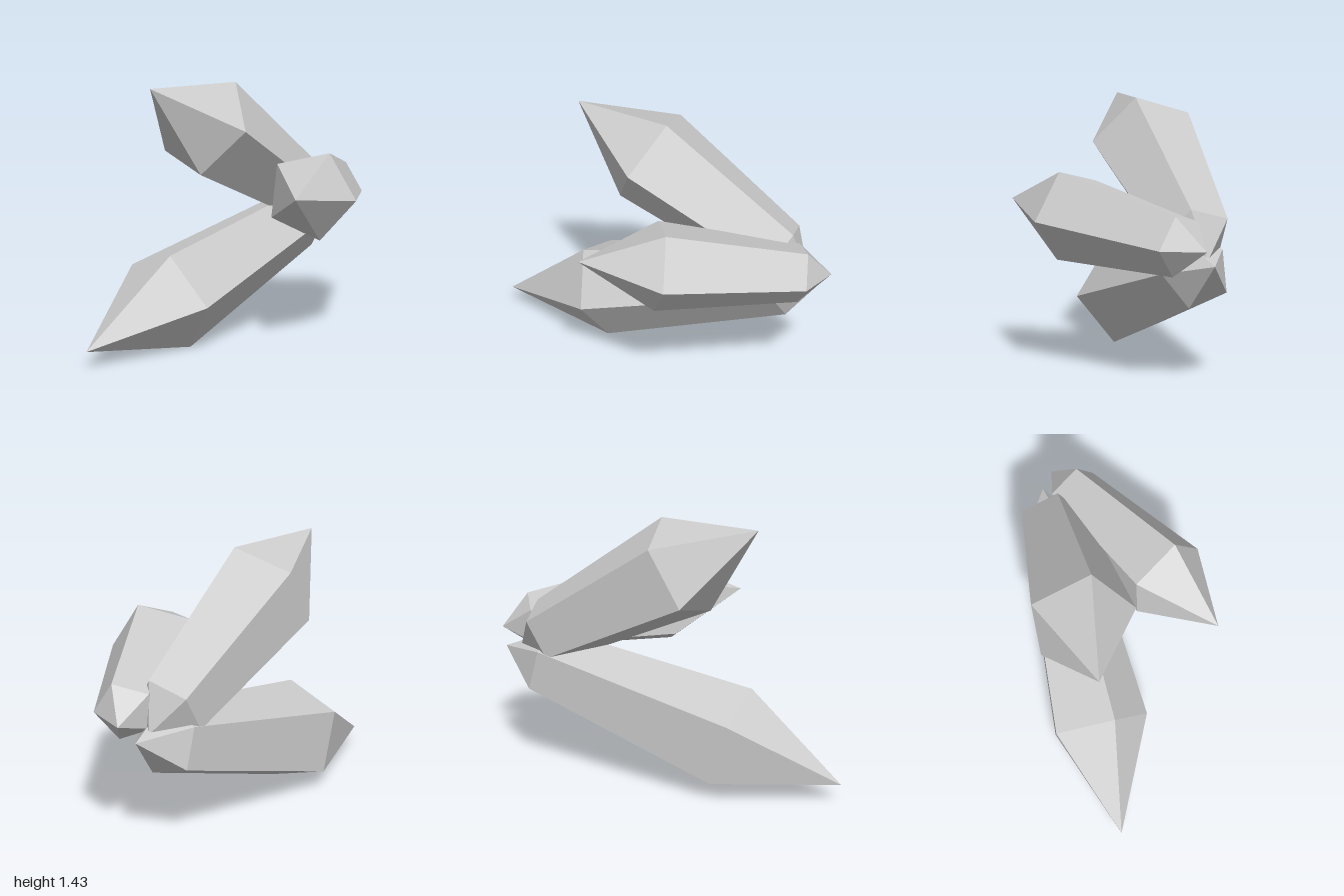
import * as THREE from 'three';

// Five-sided crystal along y: widest ring at the origin (radius 1), front point at y = 1
const profile = [[0, -2.21], [0.655, -1.815], [1, 0], [0, 1]]
  .map(([r, y]) => new THREE.Vector2(r, y));

// centre: middle of the widest ring; tip: front point; corner: direction of one ring corner
function crystal(name, material, radius, centre, tip, corner) {
  const c = new THREE.Vector3(...centre);
  const y = new THREE.Vector3(...tip).sub(c);
  const length = y.length();
  y.normalize();
  const z = new THREE.Vector3(...corner);
  z.addScaledVector(y, -z.dot(y)).normalize();
  const x = new THREE.Vector3().crossVectors(y, z);

  const mesh = new THREE.Mesh(new THREE.LatheGeometry(profile, 5), material);
  mesh.name = name;
  mesh.quaternion.setFromRotationMatrix(new THREE.Matrix4().makeBasis(x, y, z));
  mesh.scale.set(radius, length, radius);
  mesh.position.copy(c);
  return mesh;
}

export function createModel() {
  const group = new THREE.Group();
  group.name = 'crystalCluster';
  const material = new THREE.MeshStandardMaterial({ color: 0xcccccc, flatShading: true });

  // Three crystals fanning out from a shared root at the back
  group.add(
    crystal('lowerCrystal', material, 0.293, [-0.252, 0.272, 0.396], [-0.246, 0.105, 1.0], [1, 0, 0]),
    crystal('upperCrystal', material, 0.293, [-0.252, 1.192, 0.095], [-0.246, 1.435, 0.52], [1, 0, 0]),
    crystal('sideCrystal', material, 0.252, [0.265, 0.835, -0.186], [0.475, 0.885, 0.18], [0.22, -0.02, -0.12])
  );
  return group;
}
